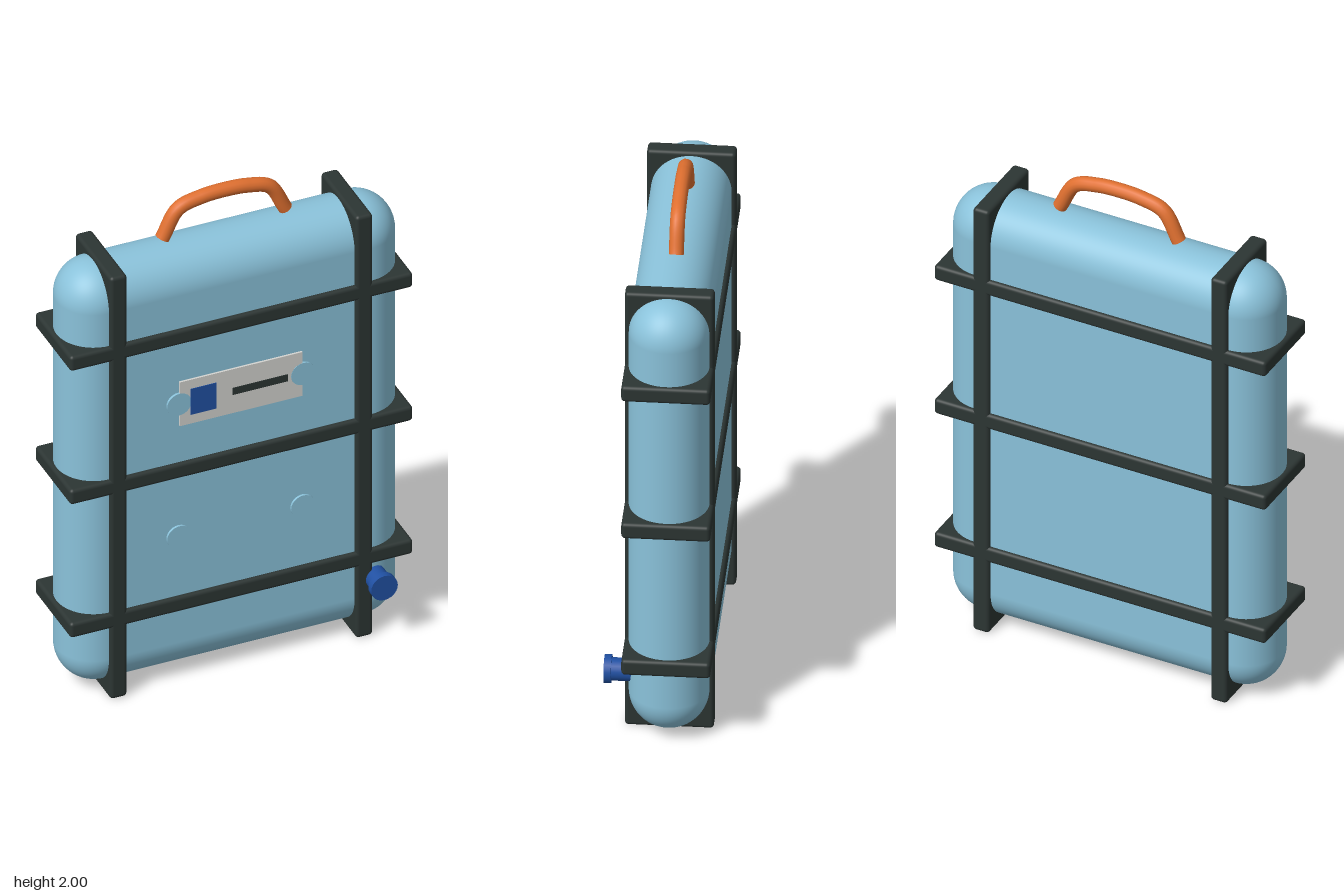
import * as THREE from 'three';
import { RoundedBoxGeometry } from 'three/addons/geometries/RoundedBoxGeometry.js';

const mat = (name, color, side = THREE.FrontSide) => {
  const m = new THREE.MeshStandardMaterial({ color, side });
  m.name = name;
  return m;
};

export function createModel() {
  const group = new THREE.Group();
  const shell = mat('light blue shell', 0x8ac2da);
  const strap = mat('dark strap', 0x2c3533);
  const orange = mat('orange handle', 0xe07030, THREE.DoubleSide);
  const blue = mat('deep blue', 0x2050a2);
  const grey = mat('label grey', 0xd4d4d0);
  const midZ = -0.035;

  const add = (name, geometry, material, x, y, z) => {
    const mesh = new THREE.Mesh(geometry, material);
    mesh.name = name;
    mesh.position.set(x, y, z);
    group.add(mesh);
    return mesh;
  };

  // Rounded case body
  add('body', new RoundedBoxGeometry(1.31, 1.79, 0.29, 8, 0.144), shell, 0, 0.918, midZ);

  // Two upright straps and three level straps
  for (const x of [-0.48, 0.48])
    add('uprightStrap', new RoundedBoxGeometry(0.066, 1.828, 0.32, 3, 0.014), strap, x, 0.914, midZ);
  for (const y of [0.34, 0.918, 1.497])
    add('levelStrap', new RoundedBoxGeometry(1.34, 0.064, 0.32, 3, 0.014), strap, 0, y, midZ);

  // Carrying handle with closed ends
  const points = [[-0.24, 1.83], [-0.178, 1.94], [-0.09, 1.967], [0, 1.973], [0.09, 1.967], [0.178, 1.94], [0.24, 1.83]];
  const path = new THREE.CatmullRomCurve3(points.map(([x, y]) => new THREE.Vector3(x, y, 0)));
  add('handle', new THREE.TubeGeometry(path, 48, 0.027, 14), orange, 0, 0, midZ - 0.003);
  for (const t of [0, 1]) {
    const p = path.getPointAt(t);
    const cap = add('handleEnd', new THREE.CircleGeometry(0.027, 14), orange, p.x, p.y, midZ - 0.003);
    const out = path.getTangentAt(t).multiplyScalar(t ? 1 : -1);
    cap.quaternion.setFromUnitVectors(new THREE.Vector3(0, 0, 1), out);
  }

  // Label plate with a square and a bar
  add('labelPlate', new THREE.BoxGeometry(0.48, 0.19, 0.009), grey, 0, 1.205, 0.1135);
  add('labelSquare', new THREE.BoxGeometry(0.1, 0.112, 0.004), blue, -0.148, 1.205, 0.118);
  add('labelBar', new THREE.BoxGeometry(0.215, 0.03, 0.004), strap, 0.074, 1.205, 0.118);

  // Round studs on the front
  for (const x of [-0.242, 0.242])
    for (const y of [0.63, 1.205])
      add('stud', new THREE.CylinderGeometry(0.047, 0.047, 0.02, 24).rotateX(Math.PI / 2), shell, x, y, 0.109);

  // Valve with a wider cap
  add('valveNeck', new THREE.CylinderGeometry(0.042, 0.042, 0.1, 24).rotateX(Math.PI / 2), blue, 0.526, 0.245, 0.125);
  add('valveCap', new THREE.CylinderGeometry(0.052, 0.052, 0.026, 24).rotateX(Math.PI / 2), blue, 0.526, 0.245, 0.183);

  return group;
}
